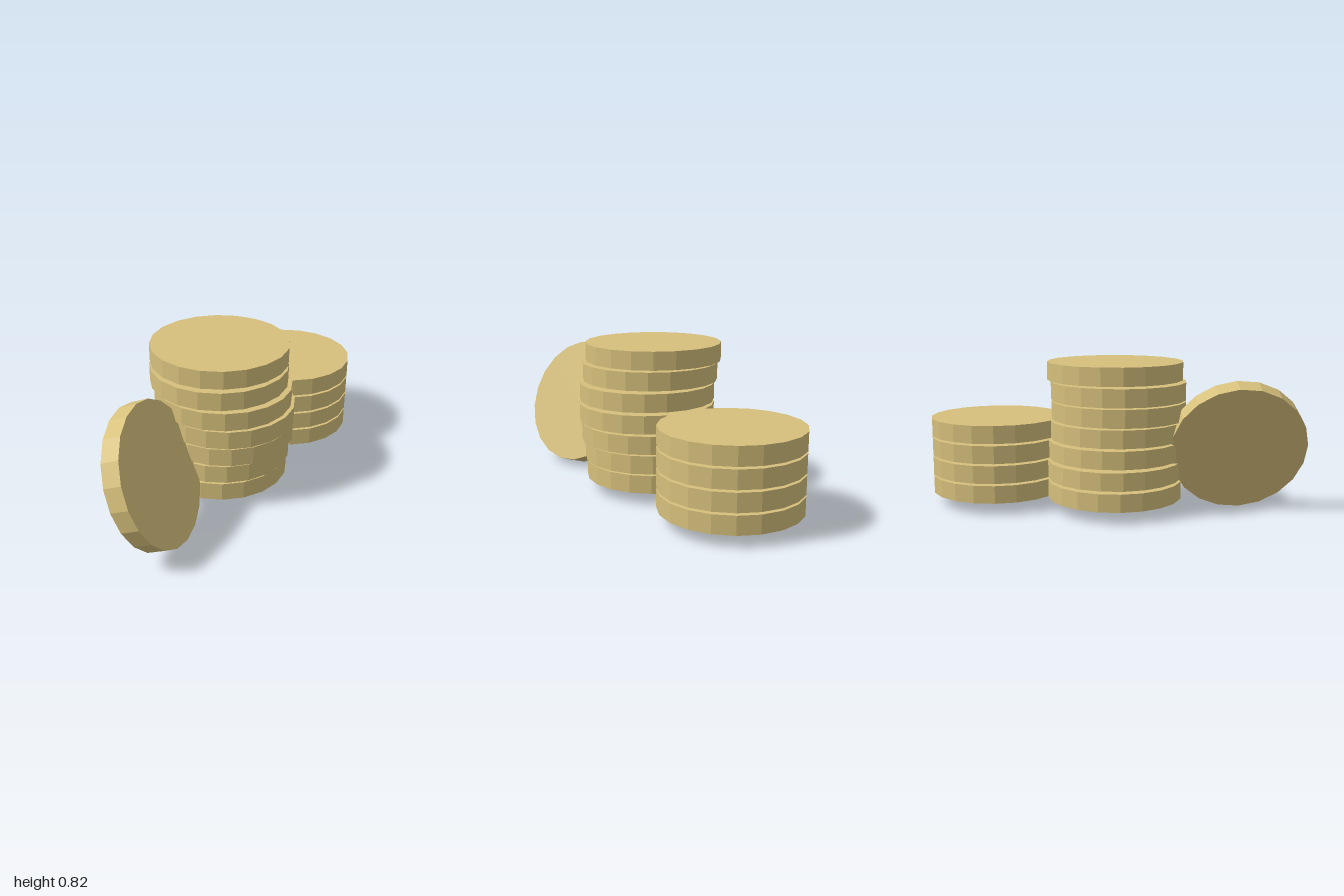
import * as THREE from 'three';

const RADIUS = 0.375, THICKNESS = 0.098, STEP = 0.11, SIDES = 20;

export function createModel() {
  const model = new THREE.Group();
  model.name = 'coinPiles';
  const gold = new THREE.MeshStandardMaterial({ color: 0xd6c07c, flatShading: true });
  const coinGeometry = new THREE.CylinderGeometry(RADIUS, RADIUS, THICKNESS, SIDES);

  function addCoin(parent, name, x, y, z, spin = 0) {
    const coin = new THREE.Mesh(coinGeometry, gold);
    coin.name = name;
    coin.position.set(x, y, z);
    coin.rotation.y = spin;
    parent.add(coin);
    return coin;
  }

  // A stack is a list of [x, z, spin], from the bottom coin up
  function addStack(name, coins) {
    const stack = new THREE.Group();
    stack.name = name;
    coins.forEach(([x, z, spin], i) => addCoin(stack, `${name}Coin${i + 1}`, x, 0.119 + i * STEP, z, spin));
    model.add(stack);
  }

  // Tall, slightly wavering stack in the middle
  addStack('tallStack', [
    [-0.045, 0.014, 0], [-0.038, 0.024, 0.04], [-0.03, 0.043, 0.05], [-0.034, 0.055, 0],
    [-0.051, 0.048, 0], [-0.062, 0.027, 0], [-0.048, 0.012, 0.03],
  ]);

  // Short straight stack
  addStack('shortStack', Array.from({ length: 4 }, () => [0.624, -0.194, 0]));

  // Single coin leaning against the tall stack
  const normal = new THREE.Vector3(0.52, 0.36, 0.775).normalize();
  const leaning = addCoin(model, 'leaningCoin', -0.64, 0.39, 0.328);
  leaning.position.addScaledVector(normal, -THICKNESS / 2);
  const tiltZ = -Math.asin(normal.x), tiltX = Math.atan2(normal.z, normal.y);
  leaning.rotation.set(tiltX, 0, tiltZ);
  leaning.rotateY(Math.PI / SIDES);

  return model;
}
